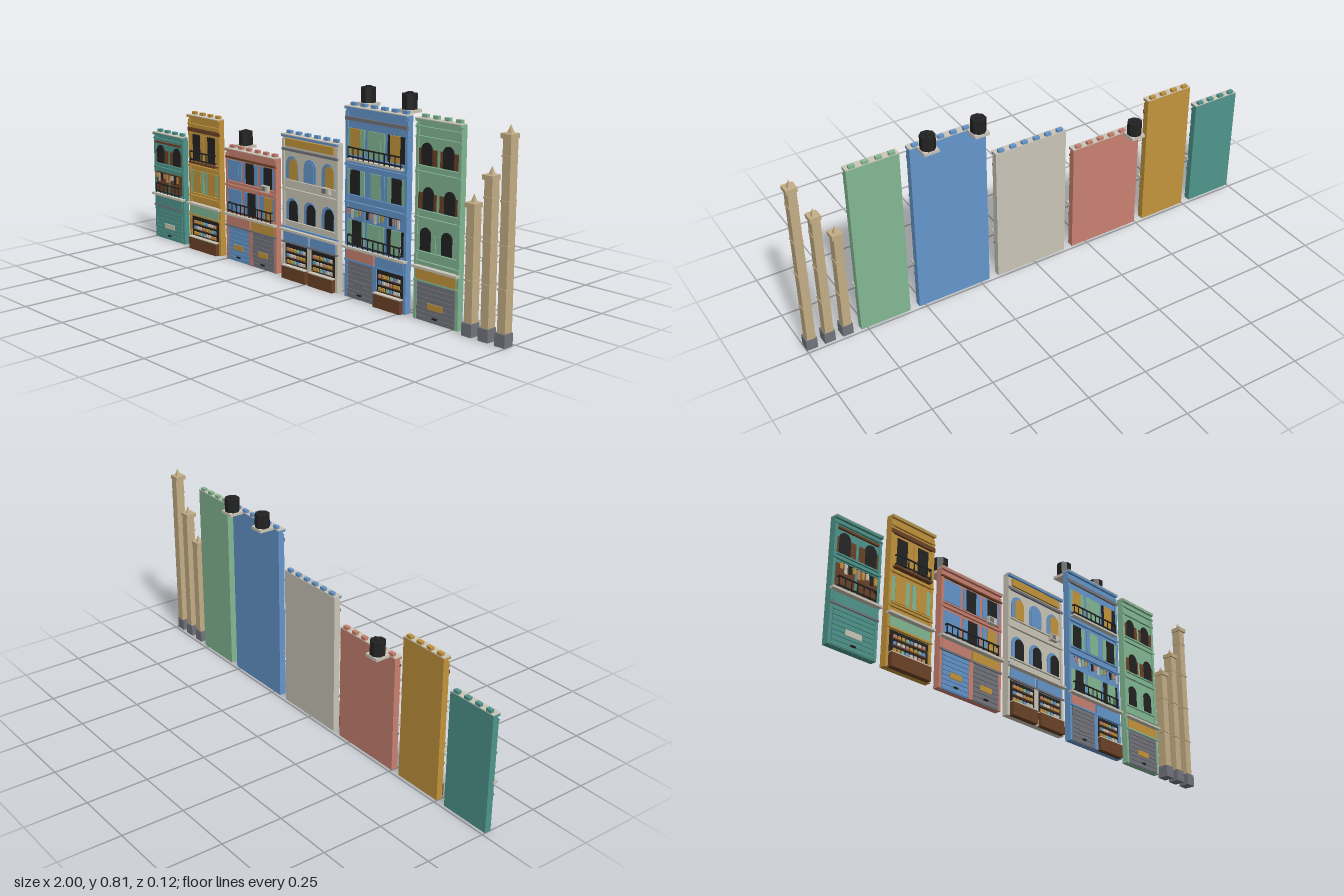
import * as THREE from 'three';

const COLORS = {
  teal: 0x4f968c, ochre: 0xc4953c, salmon: 0xc98170, cream: 0xcbc6b8, blue: 0x6596cc,
  green: 0x84b995, tan: 0xc4ae86, black: 0x222222, grey: 0x73757d, brown: 0x6b4226,
};
const BACK = 0.013, FRONT = 0.035;

export function createModel() {
  const M = {};
  for (const [name, color] of Object.entries(COLORS)) {
    M[name] = new THREE.MeshStandardMaterial({ color });
    M[name].name = name;
  }
  const root = new THREE.Group();
  root.name = 'streetOfFacades';

  const add = (g, name, geo, color, x = 0, y = 0, z = 0) => {
    const m = new THREE.Mesh(geo, M[color]);
    m.name = name;
    m.position.set(x, y, z);
    g.add(m);
    return m;
  };
  // Box centred on x, spanning y0..y1 and z0..z1
  const box = (g, name, color, x, w, y0, y1, z0, z1) =>
    add(g, name, new THREE.BoxGeometry(w, y1 - y0, z1 - z0), color, x, (y0 + y1) / 2, (z0 + z1) / 2);
  // Thin round-headed plate standing on y
  const arch = (g, name, color, x, y, w, h, z, d) => {
    const s = new THREE.Shape();
    s.moveTo(-w / 2, 0).lineTo(w / 2, 0).lineTo(w / 2, h - w / 2);
    s.absarc(0, h - w / 2, w / 2, 0, Math.PI, false);
    s.closePath();
    add(g, name, new THREE.ExtrudeGeometry(s, { depth: d, bevelEnabled: false, curveSegments: 6 }), color, x, y, z);
  };

  // Window: an opening between two shutters; spec = [style, opening, shutter, opening offset]
  const win = (g, x, y, h, [style, open, shut, off = 0]) => {
    if (style === 'arch') {
      box(g, 'shutters', shut, x, 0.085, y, y + h * 0.72, FRONT, FRONT + 0.003);
      arch(g, 'archedOpening', open, x + off, y, 0.05, h, FRONT + 0.001, 0.004);
    } else if (style === 'roundPanel') {
      arch(g, 'archedShutter', shut, x, y, 0.068, h, FRONT, 0.003);
      arch(g, 'archedOpening', open, x + off, y, 0.048, h - 0.008, FRONT + 0.001, 0.004);
    } else {
      for (const s of [-1, 1]) box(g, 'shutter', shut, x + s * 0.031, 0.024, y, y + h, FRONT, FRONT + 0.004);
      box(g, 'opening', open, x + off, 0.05, y, y + h, FRONT, FRONT + 0.005);
    }
  };

  // Iron balcony on a thin floor
  const balcony = (g, w, y, floor) => {
    if (floor) box(g, 'balconyFloor', floor, 0, w + 0.01, y - 0.008, y, FRONT, 0.054);
    for (const dy of [0.006, 0.04]) {
      box(g, 'balconyRail', 'black', 0, w, y + dy, y + dy + 0.005, 0.048, 0.052);
      for (const s of [-1, 1]) box(g, 'balconySideRail', 'black', s * (w / 2 - 0.002), 0.004, y + dy, y + dy + 0.005, FRONT, 0.048);
    }
    const n = Math.round(w / 0.028);
    for (let i = 0; i <= n; i++) box(g, 'baluster', 'black', (i / n - 0.5) * (w - 0.003), 0.003, y, y + 0.042, 0.0485, 0.0515);
  };

  // Washing on a line
  const laundry = (g, w, y, tones) => {
    box(g, 'washingLine', 'black', 0, w, y, y + 0.002, 0.048, 0.05);
    const n = Math.round(w / 0.019);
    for (let i = 0; i < n; i++) {
      const drop = 0.022 + 0.007 * ((i * 5) % 3);
      box(g, 'washing', tones[i % tones.length], ((i + 0.5) / n - 0.5) * w, 0.012, y - drop, y, 0.049, 0.052);
    }
  };

  // Roller shutter with slats, notice and handle
  const rollerDoor = (g, x, w, color, plate) => {
    box(g, 'rollerDoor', color, x, w, 0, 0.145, FRONT, FRONT + 0.003);
    for (let i = 0; i < 8; i++) box(g, 'doorSlat', color, x, w, i * 0.018 + 0.003, i * 0.018 + 0.018, FRONT + 0.003, FRONT + 0.006);
    box(g, 'doorNotice', plate, x, Math.min(w * 0.45, 0.07), 0.05, 0.072, FRONT + 0.006, FRONT + 0.009);
    box(g, 'doorHandle', 'black', x, 0.02, 0.017, 0.023, FRONT + 0.006, FRONT + 0.011);
  };

  // Open shop with shelves of goods above a counter
  const shop = (g, x, w) => {
    box(g, 'shopOpening', 'black', x, w, 0, 0.142, FRONT, FRONT + 0.003);
    const tones = ['ochre', 'cream', 'blue', 'ochre', 'salmon', 'cream', 'green'];
    const n = Math.round(w / 0.022);
    for (let r = 0; r < 3; r++) {
      const y = 0.064 + r * 0.025;
      box(g, 'shelf', 'brown', x, w * 0.88, y - 0.004, y, FRONT + 0.003, FRONT + 0.008);
      for (let i = 0; i < n; i++)
        box(g, 'goods', tones[(i * 3 + r * 2) % 7], x + ((i + 0.5) / n - 0.5) * w * 0.86, 0.012, y, y + 0.012, FRONT + 0.003, FRONT + 0.009);
    }
    box(g, 'counter', 'brown', x, w + 0.004, 0, 0.052, FRONT, 0.057);
    box(g, 'counterTop', 'cream', x, w + 0.006, 0.052, 0.056, FRONT, 0.058);
  };

  const facade = (o) => {
    const g = new THREE.Group();
    g.name = o.name;
    g.position.x = o.x;
    root.add(g);
    const { w, h, main } = o, wide = w > 0.25;
    box(g, 'wall', main, 0, w, 0, h - 0.004, BACK, FRONT);
    for (const s of [-1, 1]) box(g, 'cornerPier', main, s * (w / 2 - 0.006), 0.012, 0, h - 0.02, FRONT, 0.04);
    // Cornice and battlements
    box(g, 'cornice', o.trim || main, 0, w, h - 0.012, h - 0.003, FRONT, 0.046);
    box(g, 'coping', 'cream', 0, w, h - 0.003, h, BACK, 0.047);
    const n = wide ? 6 : 4;
    for (let i = 0; i < n; i++) box(g, 'battlement', o.trim || main, ((i + 0.5) / n - 0.5) * w, 0.024, h, h + 0.012, 0.014, 0.029);
    for (const [color, y0, y1, bw] of o.bands) box(g, 'band', color, 0, bw || w, y0, y1, FRONT, 0.044);
    // Upper windows
    const bays = wide ? [-0.102, 0, 0.102] : [-0.05, 0.05];
    for (const [y, hh, ...specs] of o.rows) {
      bays.forEach((x, i) => win(g, x, y, hh, specs[i % specs.length]));
      box(g, 'sill', main, 0, w - 0.02, y - 0.009, y - 0.003, FRONT, 0.042);
    }
    for (const [y, floor] of o.balconies || []) balcony(g, w - 0.045, y, floor);
    if (o.laundry) laundry(g, w - 0.04, ...o.laundry);
    if (o.cooler) {
      box(g, 'coolerUnit', 'cream', o.cooler[0], 0.04, o.cooler[1], o.cooler[1] + 0.026, FRONT, 0.052);
      box(g, 'coolerGrille', 'grey', o.cooler[0] - 0.006, 0.02, o.cooler[1] + 0.004, o.cooler[1] + 0.022, 0.052, 0.053);
    }
    // Ground floor
    box(g, 'canopy', 'cream', 0, w + 0.006, 0.195, 0.204, FRONT, 0.056);
    box(g, 'lintel', o.lintel || main, 0, w, 0.145, 0.152, FRONT, 0.045);
    const m = o.shops.length, sw = m === 1 ? w - 0.03 : w / 2 - 0.026;
    o.shops.forEach(([kind, sign, color, plate], i) => {
      const x = m === 1 ? 0 : (i - 0.5) * (w / 2 - 0.004);
      box(g, 'signBoard', sign, x, m === 1 ? w - 0.02 : w / 2 - 0.016, 0.152, 0.19, FRONT, 0.043);
      if (kind === 'shop') shop(g, x, sw); else rollerDoor(g, x, sw, color, plate);
    });
    if (m > 1) box(g, 'middlePier', main, 0, 0.02, 0, 0.15, FRONT, 0.042);
    return g;
  };

  facade({
    name: 'tealHouse', x: -0.895, w: 0.21, h: 0.475, main: 'teal', lintel: 'grey',
    bands: [['brown', 0.428, 0.436, 0.18], ['teal', 0.445, 0.45], ['teal', 0.314, 0.322]],
    rows: [[0.34, 0.08, ['arch', 'black', 'brown', -0.008], ['arch', 'black', 'brown', 0.008]],
      [0.215, 0.085, ['rect', 'brown', 'brown', 0]]],
    balconies: [[0.206]], laundry: [0.298, ['ochre', 'cream', 'black', 'ochre', 'salmon']],
    shops: [['door', 'teal', 'teal', 'cream']],
  });
  facade({
    name: 'ochreHouse', x: -0.645, w: 0.21, h: 0.583, main: 'ochre',
    bands: [['ochre', 0.54, 0.546], ['brown', 0.512, 0.528], ['ochre', 0.36, 0.368], ['ochre', 0.228, 0.236]],
    rows: [[0.392, 0.108, ['rect', 'black', 'ochre']],
      [0.25, 0.095, ['rect', 'ochre', 'green', 0]]],
    balconies: [[0.385, 'brown']], shops: [['shop', 'green']],
  });
  facade({
    name: 'salmonHouse', x: -0.342, w: 0.315, h: 0.475, main: 'salmon', lintel: 'grey',
    bands: [['brown', 0.434, 0.441], ['salmon', 0.316, 0.324]],
    rows: [[0.342, 0.085, ['rect', 'blue', 'blue'], ['rect', 'black', 'blue', -0.004], ['rect', 'black', 'blue', 0.006]],
      [0.213, 0.092, ['rect', 'blue', 'blue'], ['rect', 'black', 'blue', 0.006], ['rect', 'ochre', 'blue', 0.008]]],
    balconies: [[0.206]], cooler: [0.1, 0.33],
    shops: [['door', 'salmon', 'blue', 'ochre'], ['door', 'ochre', 'grey', 'ochre']],
  });
  facade({
    name: 'creamHouse', x: 0.011, w: 0.315, h: 0.583, main: 'cream', trim: 'blue', lintel: 'grey',
    bands: [['ochre', 0.536, 0.566, 0.27], ['grey', 0.517, 0.527], ['cream', 0.36, 0.368], ['blue', 0.206, 0.212]],
    rows: [[0.405, 0.092, ['roundPanel', 'ochre', 'blue', 0.009], ['roundPanel', 'blue', 'blue'], ['roundPanel', 'ochre', 'blue', 0.009]],
      [0.24, 0.09, ['roundPanel', 'black', 'blue', 0.009]]],
    cooler: [0.1, 0.38], shops: [['shop', 'blue'], ['shop', 'blue']],
  });
  facade({
    name: 'blueHouse', x: 0.367, w: 0.315, h: 0.735, main: 'blue',
    bands: [['grey', 0.682, 0.696], ['blue', 0.512, 0.52], ['blue', 0.368, 0.376]],
    rows: [[0.555, 0.098, ['rect', 'ochre', 'green', -0.004], ['rect', 'green', 'green'], ['rect', 'ochre', 'black', -0.006]],
      [0.405, 0.092, ['rect', 'black', 'green', -0.004], ['rect', 'green', 'blue'], ['rect', 'black', 'green', 0.004]],
      [0.213, 0.092, ['rect', 'black', 'green', 0.006], ['rect', 'green', 'green'], ['rect', 'green', 'black', 0.004]]],
    balconies: [[0.54, 'cream'], [0.206]],
    laundry: [0.352, ['salmon', 'cream', 'green', 'ochre', 'blue', 'black']],
    shops: [['door', 'salmon', 'grey', 'grey'], ['shop', 'blue']],
  });
  facade({
    name: 'greenHouse', x: 0.67, w: 0.21, h: 0.735, main: 'green',
    bands: [['green', 0.7, 0.707], ['green', 0.665, 0.672], ['green', 0.54, 0.547], ['green', 0.375, 0.382], ['green', 0.215, 0.222]],
    rows: [[0.57, 0.08, ['arch', 'black', 'brown', -0.004]],
      [0.41, 0.083, ['arch', 'black', 'brown', 0.006]],
      [0.26, 0.085, ['arch', 'black', 'green', -0.004]]],
    shops: [['door', 'ochre', 'grey', 'ochre']],
  });

  // Rooftop water tanks
  for (const [x, y] of [[-0.447, 0.473], [0.262, 0.733], [0.47, 0.733]]) {
    const g = new THREE.Group();
    g.name = 'waterTank';
    g.position.set(x, y, -0.026);
    root.add(g);
    box(g, 'tankBase', 'cream', 0, 0.062, 0, 0.012, -0.031, 0.031);
    add(g, 'tankBody', new THREE.CylinderGeometry(0.03, 0.03, 0.056, 8).toNonIndexed(), 'black', 0, 0.04, 0).rotation.y = Math.PI / 8;
    add(g, 'tankLid', new THREE.CylinderGeometry(0.012, 0.012, 0.006, 8), 'black', 0, 0.071, 0);
  }
  root.traverse((m) => { if (m.name === 'tankBody') m.geometry.computeVertexNormals(); });

  // Free-standing piers with plinth, rings, cap and spike
  for (const [x, h] of [[0.83, 0.475], [0.904, 0.583], [0.977, 0.733]]) {
    const g = new THREE.Group();
    g.name = 'pier';
    g.position.x = x;
    root.add(g);
    box(g, 'pierPlinth', 'grey', 0, 0.044, 0, 0.048, BACK, 0.058);
    box(g, 'pierShaft', 'tan', 0, 0.034, 0.048, h - 0.017, BACK, 0.051);
    for (let y = 0.2; y < h - 0.05; y += 0.152) box(g, 'pierRing', 'tan', 0, 0.039, y - 0.003, y + 0.003, BACK, 0.054);
    box(g, 'pierCap', 'tan', 0, 0.044, h - 0.017, h, BACK, 0.058);
    const spike = add(g, 'pierSpike', new THREE.ConeGeometry(0.0127, 0.03, 4).toNonIndexed(), 'tan', 0, h + 0.015, 0.033);
    spike.geometry.computeVertexNormals();
    spike.rotation.y = Math.PI / 4;
  }
  return root;
}
